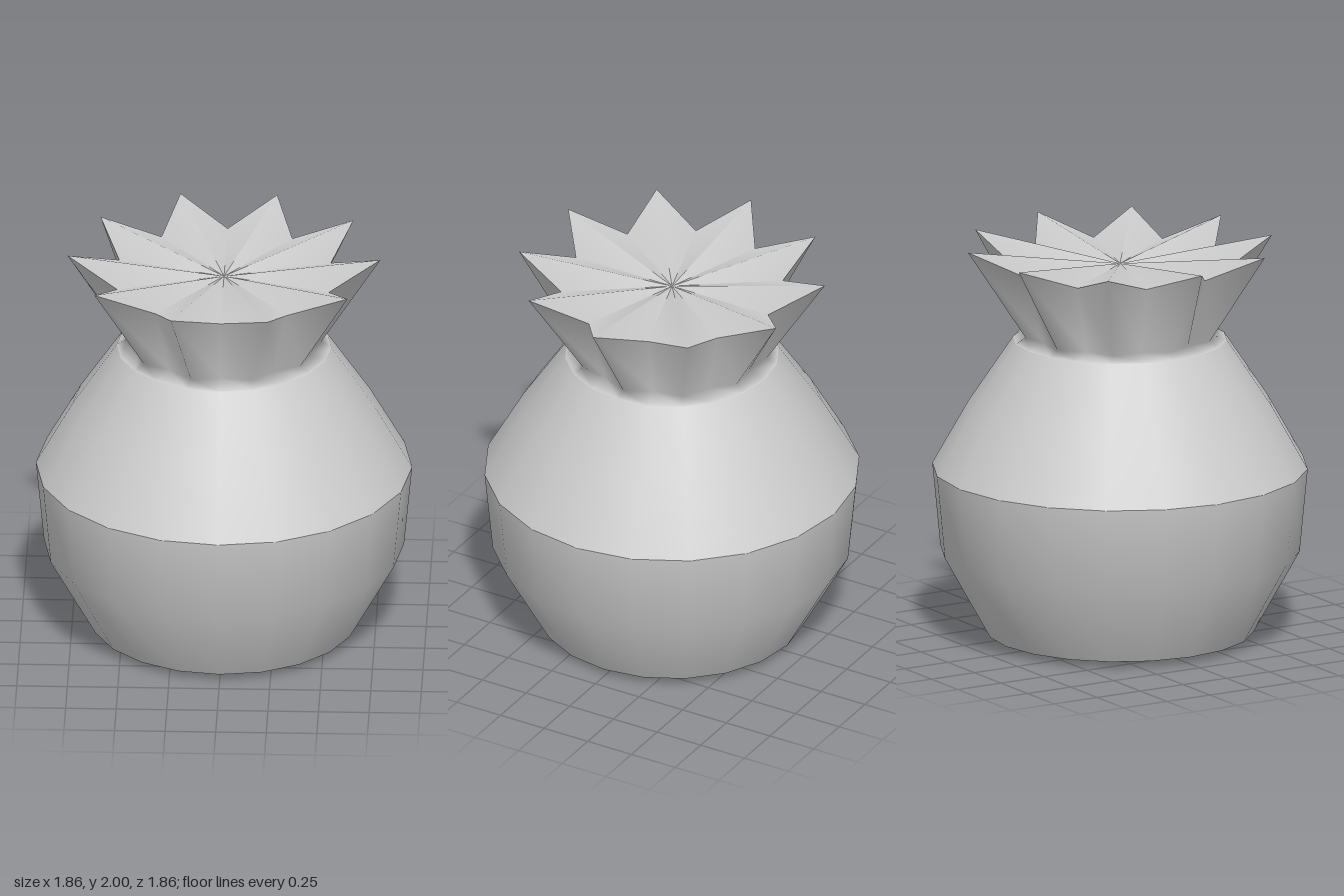
import * as THREE from 'three';

const SIDES = 20;
const material = new THREE.MeshStandardMaterial({ color: 0xcccccc });

function addMesh(group, name, geometry) {
  const mesh = new THREE.Mesh(geometry, material);
  mesh.name = name;
  group.add(mesh);
}

// Revolved band from [radius, height] pairs, bottom to top
function band(profile) {
  return new THREE.LatheGeometry(profile.map(([r, y]) => new THREE.Vector2(r, y)), SIDES);
}

// Skin through rings that alternate between valley and tip [radius, height]
function starSkin(rings) {
  const positions = [], index = [];
  rings.forEach(([valley, tip], j) => {
    for (let i = 0; i < SIDES; i++) {
      const [r, y] = i % 2 ? tip : valley;
      const a = (i / SIDES) * Math.PI * 2;
      positions.push(r * Math.sin(a), y, r * Math.cos(a));
      if (j === 0) continue;
      const n = (i + 1) % SIDES, lo = (j - 1) * SIDES, hi = j * SIDES;
      index.push(lo + i, lo + n, hi + i, lo + n, hi + n, hi + i);
    }
  });
  const geometry = new THREE.BufferGeometry();
  geometry.setAttribute('position', new THREE.Float32BufferAttribute(positions, 3));
  geometry.setIndex(index);
  geometry.computeVertexNormals();
  return geometry;
}

export function createModel() {
  const group = new THREE.Group();
  group.name = 'pot';

  // Rounded body, with hard edges at the foot, the belly and the shoulder
  addMesh(group, 'base', band([[0, 0], [0.66, 0.035]]));
  addMesh(group, 'lowerBody', band([[0.66, 0.035], [0.89, 0.45], [0.93, 0.87]]));
  addMesh(group, 'upperBody', band([[0.93, 0.87], [0.75, 1.19], [0.53, 1.52]]));

  // Flared crown of ten points, rising from the shoulder
  const rim = [[0.55, 1.9], [0.773, 2]];
  addMesh(group, 'crown', starSkin([
    [[0.53, 1.52], [0.53, 1.52]],
    [[0.44, 1.55], [0.48, 1.55]],
    rim,
  ]));

  // Folded star that closes the crown
  addMesh(group, 'crownTop', starSkin([rim, [[0, 1.9], [0, 1.9]]]));

  return group;
}
